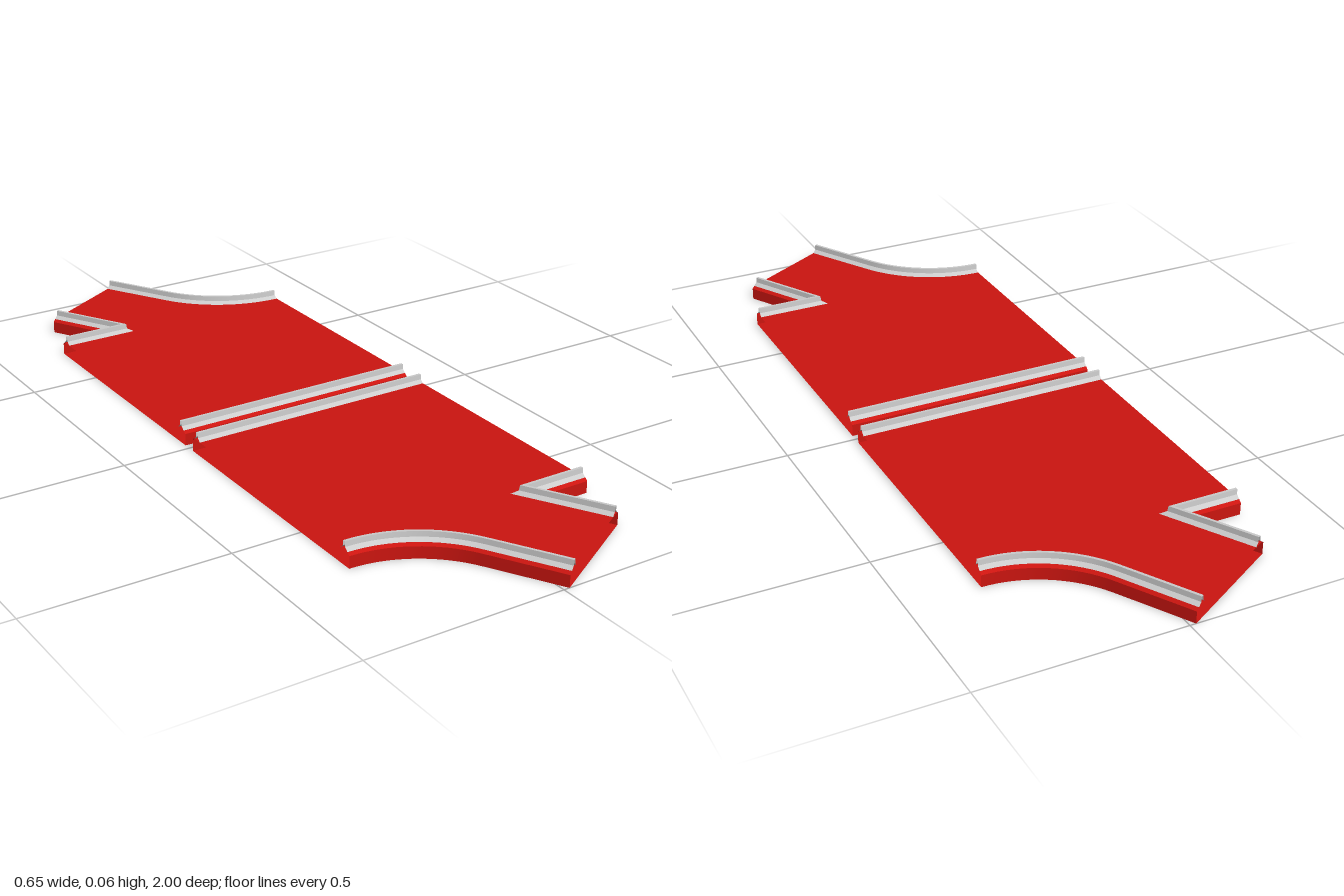
import * as THREE from 'three';
import { toCreasedNormals } from 'three/addons/utils/BufferGeometryUtils.js';

const red = new THREE.MeshStandardMaterial({ color: 0xcc1510, side: THREE.DoubleSide });
const grey = new THREE.MeshStandardMaterial({ color: 0xcccccc, side: THREE.DoubleSide });
const TOP = 0.036, CHAMFER = 0.007;

// Cross-sections as [inset from the outline, height]
const wallProfile = [[0, 0], [0, 0.03], [CHAMFER, TOP]];
const railProfile = [[0.008, TOP], [0.017, 0.044], [0.018, 0.057], [0.025, 0.057], [0.026, 0.044], [0.035, TOP]];

// Move a path of [x, z] points inwards with mitred corners
function inset(path, d) {
  const normals = path.slice(1).map(([x, z], i) => {
    const dx = x - path[i][0], dz = z - path[i][1], l = Math.hypot(dx, dz);
    return [-dz / l, dx / l];
  });
  return path.map(([x, z], i) => {
    const a = normals[Math.max(i - 1, 0)], b = normals[Math.min(i, normals.length - 1)];
    const k = d / (1 + a[0] * b[0] + a[1] * b[1]);
    return [x + (a[0] + b[0]) * k, z + (a[1] + b[1]) * k];
  });
}

// Sweep an open cross-section along a path, leaving the ends open
function sweep(path, profile) {
  const pos = [], index = [], n = path.length;
  for (const [d, y] of profile) for (const [x, z] of inset(path, d)) pos.push(x, y, z);
  for (let j = 0; j < profile.length - 1; j++) {
    for (let i = 0; i < n - 1; i++) {
      const a = j * n + i, b = a + n;
      index.push(a, b, a + 1, a + 1, b, b + 1);
    }
  }
  const g = new THREE.BufferGeometry();
  g.setAttribute('position', new THREE.Float32BufferAttribute(pos, 3));
  g.setIndex(index);
  g.computeVertexNormals();
  return toCreasedNormals(g, 0.4);
}

// Flat sheet filling the outline
function sheet(points, y, up) {
  const g = new THREE.ShapeGeometry(new THREE.Shape(points.map(p => new THREE.Vector2(...p))));
  g.rotateX(Math.PI / 2).translate(0, y, 0);
  if (up) {
    g.setIndex(Array.from(g.index.array).reverse());
    g.computeVertexNormals();
  }
  return g;
}

function named(name, geometry, material) {
  const m = new THREE.Mesh(geometry, material);
  m.name = name;
  return m;
}

function createHalf(name) {
  const half = new THREE.Group();
  half.name = name;

  // Curved edge: straight slant, then a 60 degree arc to the side
  const curve = [[0.015, 1]], R = 0.279, SEG = 16;
  for (let i = 0; i <= SEG; i++) {
    const t = (1 - i / SEG) * Math.PI / 3;
    curve.push([-0.325 + R * Math.sin(t), 0.69 + R * (1 - Math.cos(t))]);
  }
  const edges = {
    middle: [[-0.325, 0.018], [0.325, 0.018]],
    notch: [[0.325, 0.69], [0.192, 0.69], [0.281, 0.845]],
    curved: curve,
  };

  // Road deck
  const outline = d => Object.values(edges).flatMap(p => inset(p, d));
  half.add(named('deckTop', sheet(outline(CHAMFER), TOP, true), red));
  half.add(named('deckBottom', sheet(outline(0), 0, false), red));

  // Side walls and barriers along the three closed edges
  for (const [key, path] of Object.entries(edges)) {
    half.add(named(key + 'Wall', sweep(path, wallProfile), red));
    half.add(named(key + 'Barrier', sweep(path, railProfile), grey));
  }
  return half;
}

export function createModel() {
  const model = new THREE.Group();
  model.name = 'roadJunction';
  const back = createHalf('backRoad');
  back.rotation.y = Math.PI;
  model.add(createHalf('frontRoad'), back);
  return model;
}
